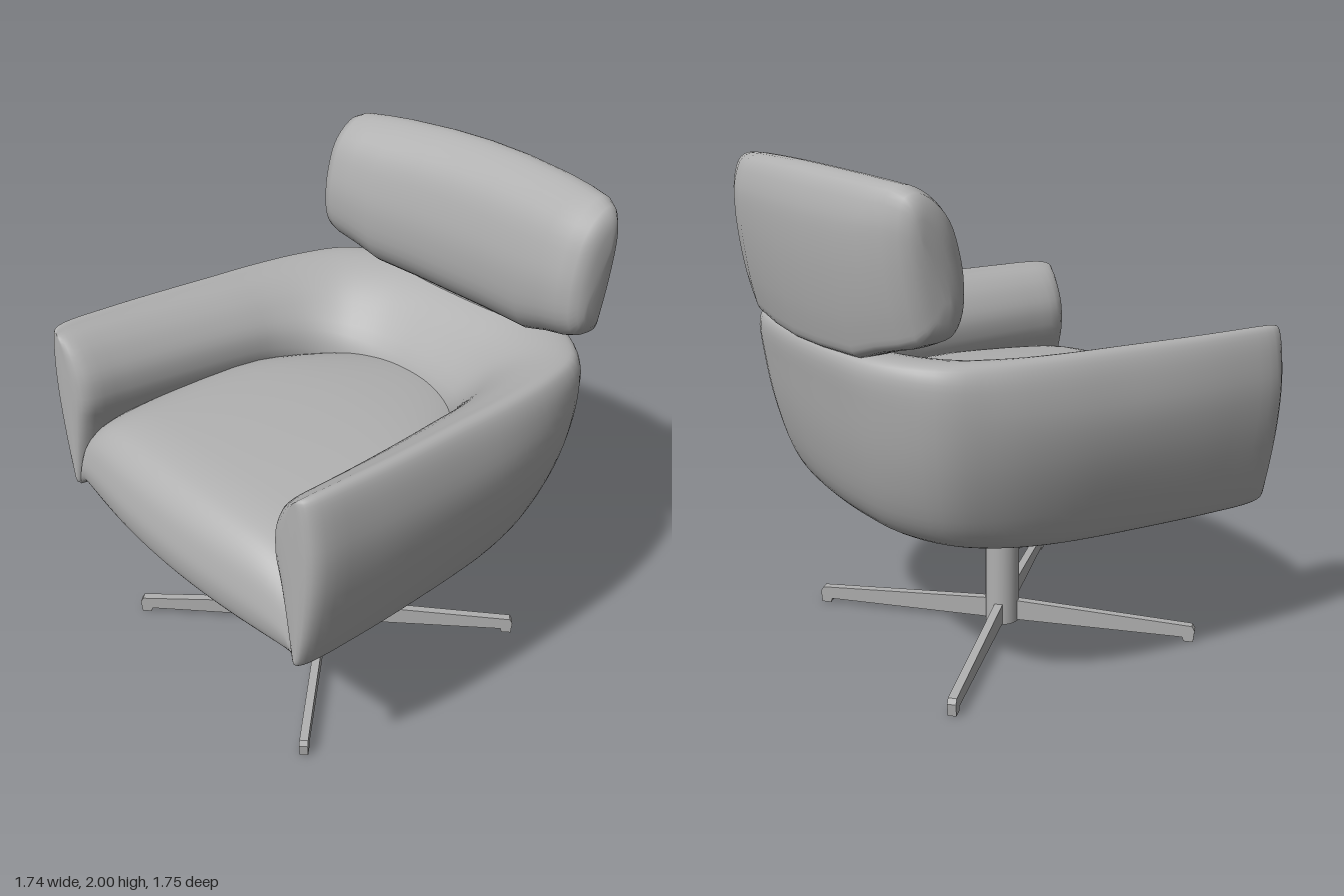
import * as THREE from 'three';
import { toCreasedNormals } from 'three/addons/utils/BufferGeometryUtils.js';
import { RoundedBoxGeometry } from 'three/addons/geometries/RoundedBoxGeometry.js';

const V = (x, y, z = 0) => new THREE.Vector3(x, y, z);
const grey = new THREE.MeshStandardMaterial({ color: 0xb0b0b0 });
grey.name = 'grey';

function mesh(name, geometry) {
  const m = new THREE.Mesh(geometry, grey);
  m.name = name;
  return m;
}

// Samples a smooth curve through [x, y, z] points
function smooth(points, n, closed = false) {
  const curve = new THREE.CatmullRomCurve3(points.map(p => V(...p)), closed, 'centripetal');
  return Array.from({ length: closed ? n : n + 1 }, (_, i) => curve.getPoint(i / n));
}

// Mirrors a half list of stations that ends on the centre line
function mirrored(half) {
  return [...half, ...half.slice(0, -1).reverse().map(([x, ...rest]) => [-x, ...rest])];
}

// Skins closed rings, closes both ends and turns the faces outward
function loft(rings) {
  const n = rings[0].length, pos = [], idx = [];
  rings.forEach(r => r.forEach(p => pos.push(p.x, p.y, p.z)));
  for (let i = 0; i < rings.length - 1; i++) {
    for (let j = 0; j < n; j++) {
      const a = i * n + j, b = i * n + (j + 1) % n;
      idx.push(a, b, a + n, b, b + n, a + n);
    }
  }
  [0, rings.length - 1].forEach(e => {
    const c = rings[e].reduce((s, p) => s.add(p), V(0, 0)).divideScalar(n);
    const k = pos.length / 3;
    pos.push(c.x, c.y, c.z);
    for (let j = 0; j < n; j++) {
      const a = e * n + j, b = e * n + (j + 1) % n;
      idx.push(...(e ? [k, a, b] : [k, b, a]));
    }
  });
  const at = i => V(pos[3 * i], pos[3 * i + 1], pos[3 * i + 2]);
  let volume = 0;
  for (let i = 0; i < idx.length; i += 3) volume += at(idx[i]).dot(at(idx[i + 1]).cross(at(idx[i + 2])));
  if (volume < 0) idx.reverse();
  const g = new THREE.BufferGeometry();
  g.setAttribute('position', new THREE.Float32BufferAttribute(pos, 3));
  g.setIndex(idx);
  g.computeVertexNormals();
  return g;
}

// Wraparound arms and back: sections run between an outer and an inner plan curve
function shell() {
  // [x, z, blend from arm section to back section]
  const outer = mirrored([[.864, .66, 0], [.868, .4, 0], [.86, .1, 0], [.842, -.2, .15], [.797, -.45, .4],
    [.71, -.64, .7], [.5, -.775, .9], [.25, -.815, 1], [0, -.825, 1]]);
  const inner = mirrored([[.595, .66], [.567, .4], [.52, .05], [.485, -.1], [.42, -.22],
    [.32, -.305], [.21, -.345], [.1, -.365], [0, -.37]]);
  // [fraction from outer to inner, height]
  const arm = [[.4, .65], [.34, .68], [.2, .8], [.04, 1], [0, 1.15], [.06, 1.28], [.15, 1.355], [.25, 1.375],
    [.38, 1.36], [.6, 1.325], [.82, 1.26], [.97, 1.17], [.98, 1.08], [.85, .97], [.62, .75], [.52, .65]];
  const back = [[.57, .65], [.36, .7], [.23, .8], [.11, 1], [.04, 1.2], [.01, 1.32], [.03, 1.36], [.1, 1.375],
    [.3, 1.37], [.5, 1.33], [.7, 1.25], [.95, 1.1], [1, 1], [1, .9], [.95, .7], [.8, .65]];
  const sectionAt = b => smooth(arm.map((a, i) => [a[0] + (back[i][0] - a[0]) * b, a[1] + (back[i][1] - a[1]) * b, 0]), 56, true);
  const plan = pts => new THREE.CatmullRomCurve3(pts.map(p => V(p[0], p[1], p[2] || 0)), false, 'catmullrom');
  const P = plan(outer), Q = plan(inner), steps = 64, rings = [];
  for (let i = 0; i <= steps; i++) {
    const p = P.getPoint(i / steps), q = Q.getPoint(i / steps);
    rings.push(sectionAt(THREE.MathUtils.clamp(p.z, 0, 1))
      .map(s => V(p.x + (q.x - p.x) * s.x, s.y, p.y + (q.y - p.y) * s.x)));
  }
  // Rounded front ends of the arms
  const cap = ring => {
    const c = ring.reduce((s, p) => s.add(p), V(0, 0)).divideScalar(ring.length);
    return [[.98, .71], [.93, .75], [.85, .778], [.72, .797], [.55, .807], [.3, .811]].map(([k, z]) =>
      ring.map(p => V(c.x + (p.x - c.x) * k, c.y + (p.y - c.y) * (1 - (1 - k) * .12), z)));
  };
  return loft([...cap(rings[0]).reverse(), ...rings, ...cap(rings[steps])]);
}

// Domed seat cushion with a bulging front and flat underside
function seat() {
  const top = smooth([[-.48, 1.08, 0], [-.3, 1.1, 0], [0, 1.11, 0], [.5, 1.085, 0], [.69, 1.06, 0], [.78, 1.025, 0],
    [.838, .96, 0], [.866, .87, 0], [.874, .79, 0], [.855, .7, 0], [.815, .655, 0]], 40);
  const under = [.5, .2, -.1, -.3, -.48].map(z => V(z, .655));
  const profile = [...top, ...under];
  // [fraction of half width, fraction of height]
  const dome = smooth(mirrored([[1, 0], [.985, .25], [.97, .45], [.93, .67], [.83, .82], [.68, .92], [.4, .98], [0, 1]])
    .map(([s, f]) => [s, f, 0]), 48);
  const width = z => .73 - .38 * Math.pow(THREE.MathUtils.clamp((.1 - z) / .58, 0, 1), 1.5);
  const geometry = loft(dome.map(d => profile.map(p =>
    V(d.x * width(p.x), .655 + (p.y - .655) * Math.max(d.y, 0), p.x - (p.x > 0 ? .07 * d.x * d.x * p.x / .8 : 0)))));
  return toCreasedNormals(geometry, .8);
}

// Head cushion, gently curved around the sitter
function headrest() {
  const section = smooth([[-.55, 1.6, 0], [-.562, 1.73, 0], [-.605, 1.87, 0], [-.68, 1.955, 0], [-.77, 1.997, 0],
    [-.835, 1.975, 0], [-.873, 1.88, 0], [-.88, 1.77, 0], [-.867, 1.6, 0], [-.838, 1.43, 0], [-.815, 1.365, 0],
    [-.74, 1.355, 0], [-.63, 1.378, 0], [-.57, 1.46, 0]], 48, true);
  // [x, thickness, top, bottom]
  const half = [[.737, .1, 1.8, 1.6], [.734, .3, 1.87, 1.54], [.724, .5, 1.915, 1.505], [.7, .69, 1.95, 1.475],
    [.65, .86, 1.972, 1.455], [.55, .97, 1.98, 1.43], [.43, 1, 1.988, 1.39], [.2, 1, 1.997, 1.38], [0, 1, 2, 1.375]];
  return loft(mirrored(half).map(([x, t, top, bottom]) => {
    const bend = .05 * Math.min(1.6, (x / .55) ** 2);
    return section.map(p => {
      const v = (p.y - 1.378) / .622, mid = -.67 - .09 * v;
      return V(x, bottom + (top - bottom) * v, mid + (p.x - mid) * t + bend);
    });
  }));
}

// Tapered foot blade with a small pad under its tip
function legGeometry() {
  const shape = new THREE.Shape([[0, .015], [.08, .015], [.77, .018], [.775, 0], [.815, 0], [.82, .05], [.808, .07],
    [.06, .103], [0, .103]].map(([x, y]) => new THREE.Vector2(x, y)));
  return new THREE.ExtrudeGeometry(shape, { depth: .034, bevelEnabled: false }).translate(0, 0, -.017);
}

export function createModel() {
  const chair = new THREE.Group();
  chair.name = 'swivelArmchair';
  chair.add(mesh('armsAndBack', shell()), mesh('seatCushion', seat()), mesh('headrest', headrest()));

  // Join between the back and the headrest
  const neck = mesh('headrestJoin', new RoundedBoxGeometry(.9, .1, .1, 4, .04));
  neck.position.set(0, 1.36, -.7);
  chair.add(neck);

  // Pedestal with four diagonal blades
  const base = new THREE.Group();
  base.name = 'pedestalBase';
  base.position.z = .07;
  const column = mesh('column', new THREE.CylinderGeometry(.071, .071, .65, 32));
  column.position.y = .335;
  base.add(column);
  const blade = legGeometry();
  for (let i = 0; i < 4; i++) {
    const leg = mesh('footBlade', blade);
    leg.rotation.y = (i + .5) * Math.PI / 2;
    base.add(leg);
  }
  chair.add(base);
  return chair;
}
